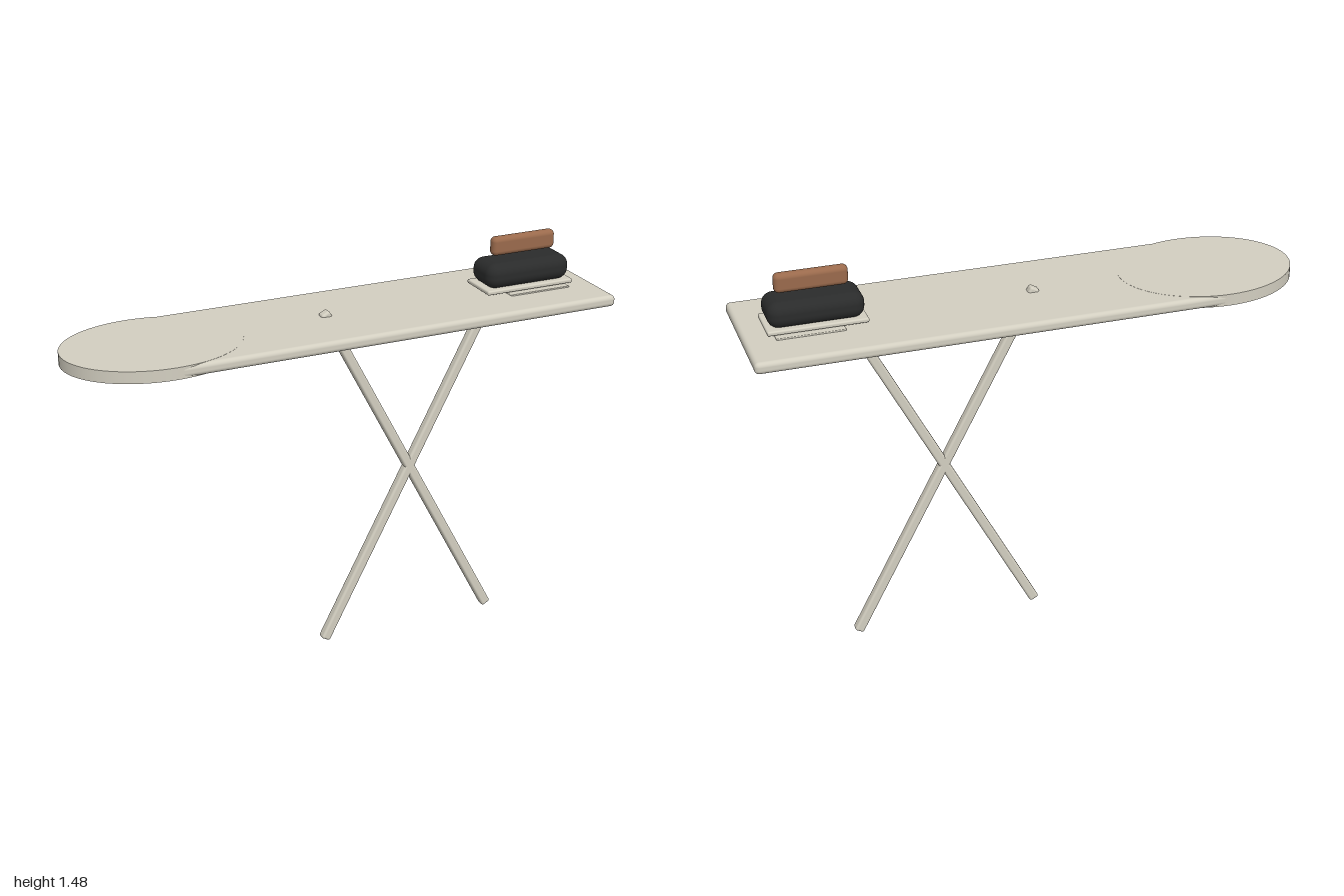
import * as THREE from 'three';
import { RoundedBoxGeometry } from 'three/addons/geometries/RoundedBoxGeometry.js';

function material(name, color) {
  const m = new THREE.MeshStandardMaterial({ color });
  m.name = name;
  return m;
}

export function createModel() {
  const model = new THREE.Group();
  model.name = 'ironingBoardWithIron';
  const cream = material('cream', 0xd2cec0);
  const black = material('black', 0x2a2b2b);
  const brown = material('brown', 0x9a6a4c);

  const add = (name, geometry, mat, x, y, z = 0) => {
    const mesh = new THREE.Mesh(geometry, mat);
    mesh.name = name;
    mesh.position.set(x, y, z);
    model.add(mesh);
    return mesh;
  };
  const rounded = (w, h, d, r) => new RoundedBoxGeometry(w, h, d, 4, r);

  // Board: long rounded slab with an elliptical nose
  add('boardTop', rounded(1.67, 0.042, 0.5, 0.016), cream, 0.165, 1.27);
  const nose = new THREE.CylinderGeometry(1, 1, 0.043, 64);
  nose.scale(0.32, 1, 0.25);
  add('boardNose', nose, cream, -0.68, 1.27);

  // Crossed legs; the tops run through the board
  for (const side of [-1, 1]) {
    const leg = add(side < 0 ? 'rightFootLeg' : 'leftFootLeg',
      rounded(0.036, 1.465, 0.036, 0.009), cream, 0.3, 0.656);
    leg.rotation.z = side * 0.486;
  }

  // Iron rest and sole plate
  add('ironRest', rounded(0.24, 0.012, 0.2, 0.003), cream, 0.775, 1.29);
  add('ironSolePlate', rounded(0.35, 0.016, 0.16, 0.006), cream, 0.745, 1.306);

  // Iron body and floating handle
  add('ironBody', rounded(0.335, 0.093, 0.154, 0.04), black, 0.745, 1.357);
  add('ironHandle', rounded(0.255, 0.07, 0.04, 0.018), brown, 0.748, 1.453);

  return model;
}
